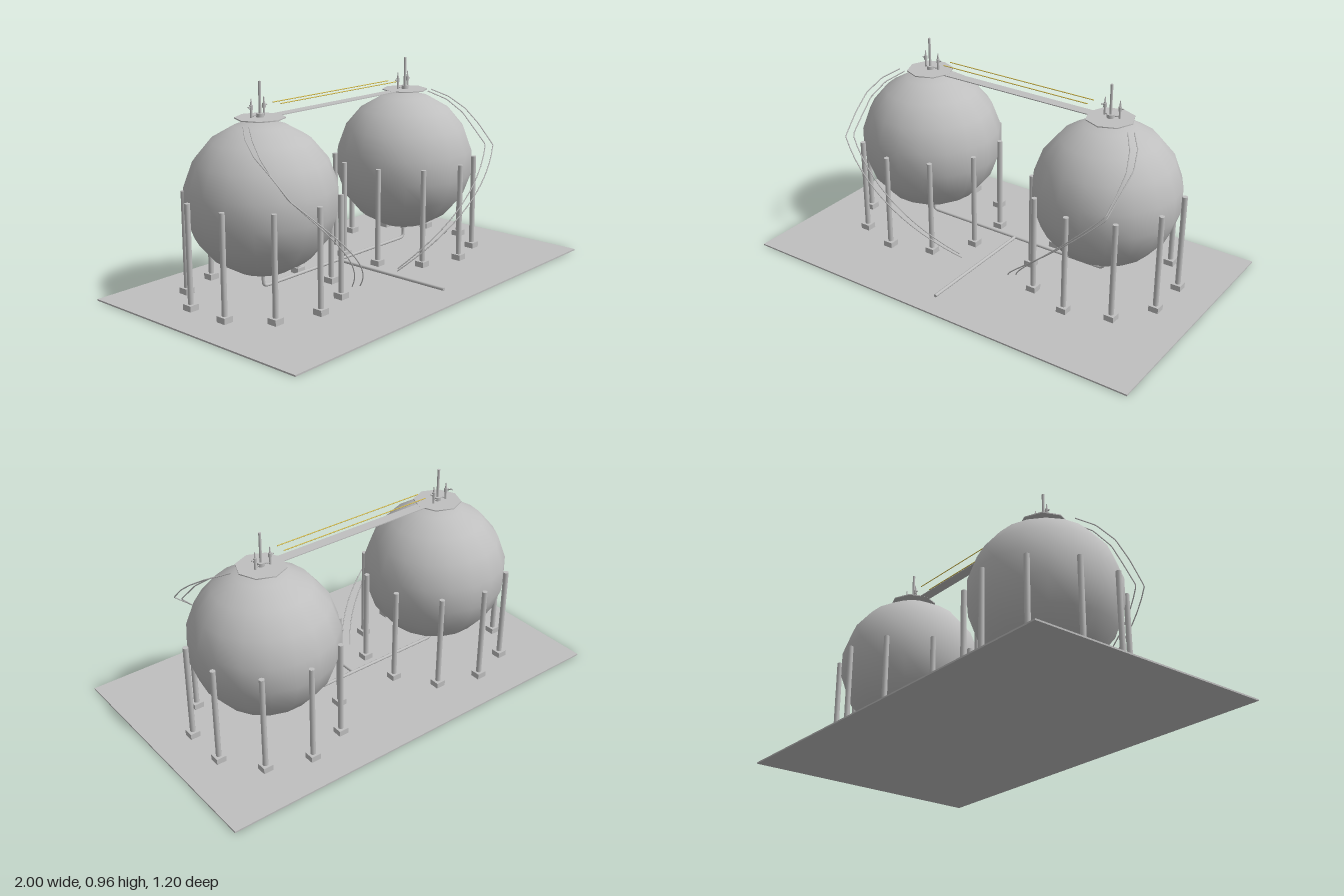
import * as THREE from 'three';

const steel = new THREE.MeshStandardMaterial({ color: 0xbfbfbf });
steel.name = 'grey steel';
const yellow = new THREE.MeshStandardMaterial({ color: 0xd9bf4d });
yellow.name = 'rail yellow';

const TANK_X = 0.49, TANK_Z = -0.088, TANK_Y = 0.4525, TANK_R = 0.3375;

function add(parent, name, geometry, x = 0, y = 0, z = 0, material = steel) {
  const mesh = new THREE.Mesh(geometry, material);
  mesh.name = name;
  mesh.position.set(x, y, z);
  parent.add(mesh);
  return mesh;
}

const box = (w, h, d) => new THREE.BoxGeometry(w, h, d);
const rod = (r, h, sides = 10, r2 = r) => new THREE.CylinderGeometry(r2, r, h, sides);

// Stair stringer: bends over the crown, then spirals down round the tank (tank-local x and z)
function stringer(side, upper, radius, endAngle) {
  const points = upper.map(([x, y, z]) => new THREE.Vector3(x * side, y, z));
  const a0 = -29, n = 14;
  for (let i = 0; i <= n; i++) {
    const t = i / n, a = THREE.MathUtils.degToRad(a0 + (endAngle - a0) * t);
    const y = 0.545 - 0.53 * t - 0.04 * t * (1 - t);
    points.push(new THREE.Vector3(-side * radius * Math.sin(a), y, radius * Math.cos(a)));
  }
  const path = new THREE.CurvePath();
  for (let i = 1; i < points.length; i++) path.add(new THREE.LineCurve3(points[i - 1], points[i]));
  return new THREE.TubeGeometry(path, 72, 0.0028, 5);
}

// Small relief valve with a side handle
function valve(parent, x, z, side) {
  const g = new THREE.Group();
  g.name = 'reliefValve';
  g.position.set(x, 0.805, z);
  add(g, 'valveStem', rod(0.005, 0.05, 8), 0, 0.025, 0);
  add(g, 'valveBody', rod(0.008, 0.02, 8), 0, 0.045, 0);
  add(g, 'valveTip', rod(0.005, 0.03, 8, 0.002), 0, 0.067, 0);
  add(g, 'valveOutlet', rod(0.003, 0.02, 6), side * 0.008, 0.046, 0).rotation.z = Math.PI / 2;
  parent.add(g);
}

// One spherical tank with its legs, top platform, bottom outlet and stair
function makeTank(side) {
  const tank = new THREE.Group();
  tank.name = side > 0 ? 'leftTank' : 'rightTank';
  tank.position.set(side * TANK_X, 0, TANK_Z);
  add(tank, 'sphere', new THREE.SphereGeometry(TANK_R, 18, 9), 0, TANK_Y, 0);

  // Ten legs on square footings
  for (let i = 0; i < 10; i++) {
    const a = i * Math.PI / 5, x = 0.343 * Math.sin(a), z = 0.343 * Math.cos(a);
    add(tank, 'leg', rod(0.0125, 0.45, 10), x, 0.25, z);
    add(tank, 'footing', box(0.047, 0.034, 0.047), x, 0.017, z);
  }

  // Crown neck, platform and vents
  add(tank, 'neck', rod(0.02, 0.02, 12), 0, 0.793, 0);
  add(tank, 'platform', rod(0.11, 0.005, 8), 0, 0.803, 0);
  add(tank, 'ventBase', rod(0.017, 0.018, 10), 0, 0.813, 0);
  add(tank, 'ventPipe', rod(0.006, 0.15, 10), 0, 0.88, 0);
  add(tank, 'ventCap', rod(0.0065, 0.006, 10), 0, 0.956, 0);
  valve(tank, -0.037, -0.014, -1);
  valve(tank, 0.037, -0.014, 1);
  for (const s of [-1, 1]) {
    const link = add(tank, 'valveLink', rod(0.003, 0.04, 6), s * 0.018, 0.814, -0.007);
    link.rotation.set(0, s * 0.36, Math.PI / 2);
  }

  // Bottom outlet bending into the cross pipe
  add(tank, 'outletFlange', rod(0.015, 0.02, 12), 0, 0.108, 0);
  const bend = new THREE.CatmullRomCurve3([
    [0, 0.1, 0], [0, 0.075, 0], [-side * 0.004, 0.058, 0], [-side * 0.018, 0.051, 0], [-side * 0.035, 0.05, 0],
  ].map(p => new THREE.Vector3(...p)));
  add(tank, 'outletBend', new THREE.TubeGeometry(bend, 12, 0.0075, 8), 0, 0, 0);

  // Stair stringers
  add(tank, 'outerStringer', stringer(side, [
    [0.145, 0.79, 0.05], [0.2, 0.755, 0.118], [0.23, 0.7, 0.2], [0.225, 0.635, 0.285],
  ], 0.437, 55));
  add(tank, 'innerStringer', stringer(side, [
    [0.115, 0.785, 0.053], [0.17, 0.745, 0.13], [0.2, 0.685, 0.205], [0.2, 0.62, 0.27],
  ], 0.4, 55));
  return tank;
}

export function createModel() {
  const model = new THREE.Group();
  model.name = 'tankStation';
  add(model, 'basePlate', box(2, 0.007, 1.2), 0, 0.0035, 0);
  for (const side of [-1, 1]) model.add(makeTank(side));

  // Catwalk between the platforms with its two handrails
  add(model, 'catwalk', box(0.79, 0.004, 0.05), 0, 0.803, TANK_Z);
  for (const z of [-0.063, -0.113])
    add(model, 'handrail', rod(0.0022, 0.78, 6), 0, 0.853, z, yellow).rotation.z = Math.PI / 2;

  // Ground pipework
  add(model, 'crossPipe', rod(0.0075, 0.92, 10), 0, 0.05, TANK_Z).rotation.z = Math.PI / 2;
  add(model, 'feedPipe', rod(0.0075, 0.62, 10), 0, 0.05, 0.222).rotation.x = Math.PI / 2;
  return model;
}
